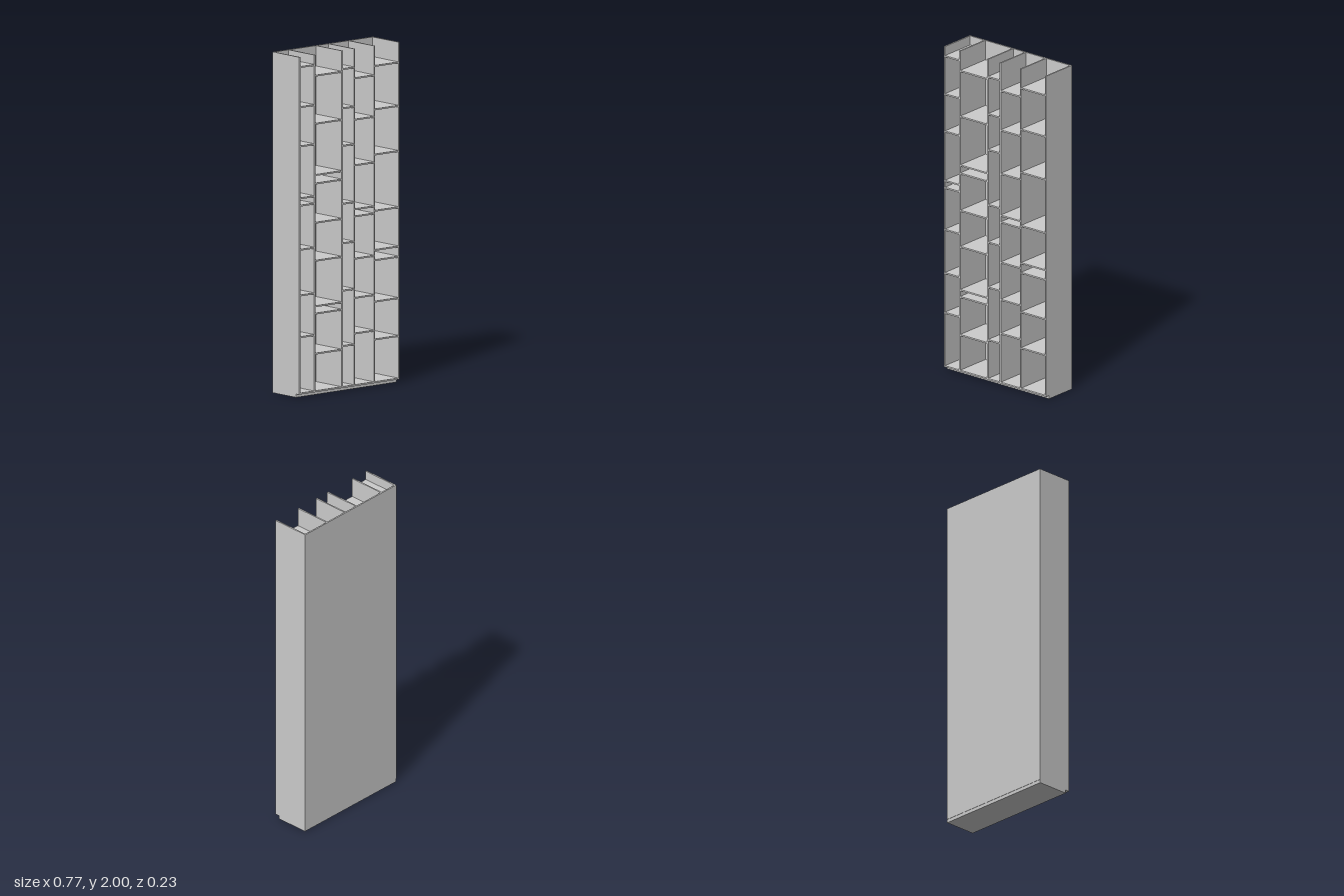
import * as THREE from 'three';

const T = 0.009;                    // board thickness
const W = 0.768;                    // overall width
const TOP = 2, BASE = 0.02;         // body runs from BASE to TOP
const BACK = -0.118, FRONT = 0.117;

// Centre x of each upright, left edge to right edge of the front
const UPRIGHTS = [-0.3795, -0.265, -0.055, 0.04, 0.193, 0.3795];

// Centre heights of the shelves in each bay, same order
const SHELVES = [
  [0.355, 0.6, 0.868, 1.127, 1.17, 1.475, 1.705, 1.94],
  [0.245, 0.48, 0.523, 0.79, 1.013, 1.243, 1.293, 1.594, 1.876],
  [0.265, 0.59, 0.868, 1.1, 1.44, 1.66, 1.89],
  [0.328, 0.537, 0.767, 1.015, 1.057, 1.315, 1.583, 1.826],
  [0.275, 0.497, 0.74, 0.8, 1.03, 1.36, 1.625, 1.88],
];

export function createModel() {
  const group = new THREE.Group();
  const material = new THREE.MeshStandardMaterial({ color: 0xcccccc });

  // Board given by its low and high limits on each axis
  const board = (name, x0, x1, y0, y1, z0, z1) => {
    const mesh = new THREE.Mesh(new THREE.BoxGeometry(x1 - x0, y1 - y0, z1 - z0), material);
    mesh.position.set((x0 + x1) / 2, (y0 + y1) / 2, (z0 + z1) / 2);
    mesh.name = name;
    group.add(mesh);
  };

  const inner = BACK + T;           // front face of the back panel

  // Plinth, set back at the front
  board('plinth', -W / 2, W / 2, 0, BASE, BACK + 0.002, 0.09);

  // Back panel
  board('backPanel', -W / 2, W / 2, BASE, TOP, BACK, inner);

  // Side panels and dividers
  UPRIGHTS.forEach((x, i) => {
    const outer = i === 0 || i === UPRIGHTS.length - 1;
    board(outer ? 'sidePanel' : 'divider', x - T / 2, x + T / 2, BASE, TOP, inner, FRONT);
  });

  // Bottom board and staggered shelves of each bay
  SHELVES.forEach((heights, i) => {
    const x0 = UPRIGHTS[i] + T / 2, x1 = UPRIGHTS[i + 1] - T / 2;
    board('bottomBoard', x0, x1, BASE, BASE + T, inner, FRONT);
    for (const y of heights) board('shelf', x0, x1, y - T / 2, y + T / 2, inner, FRONT);
  });

  return group;
}
